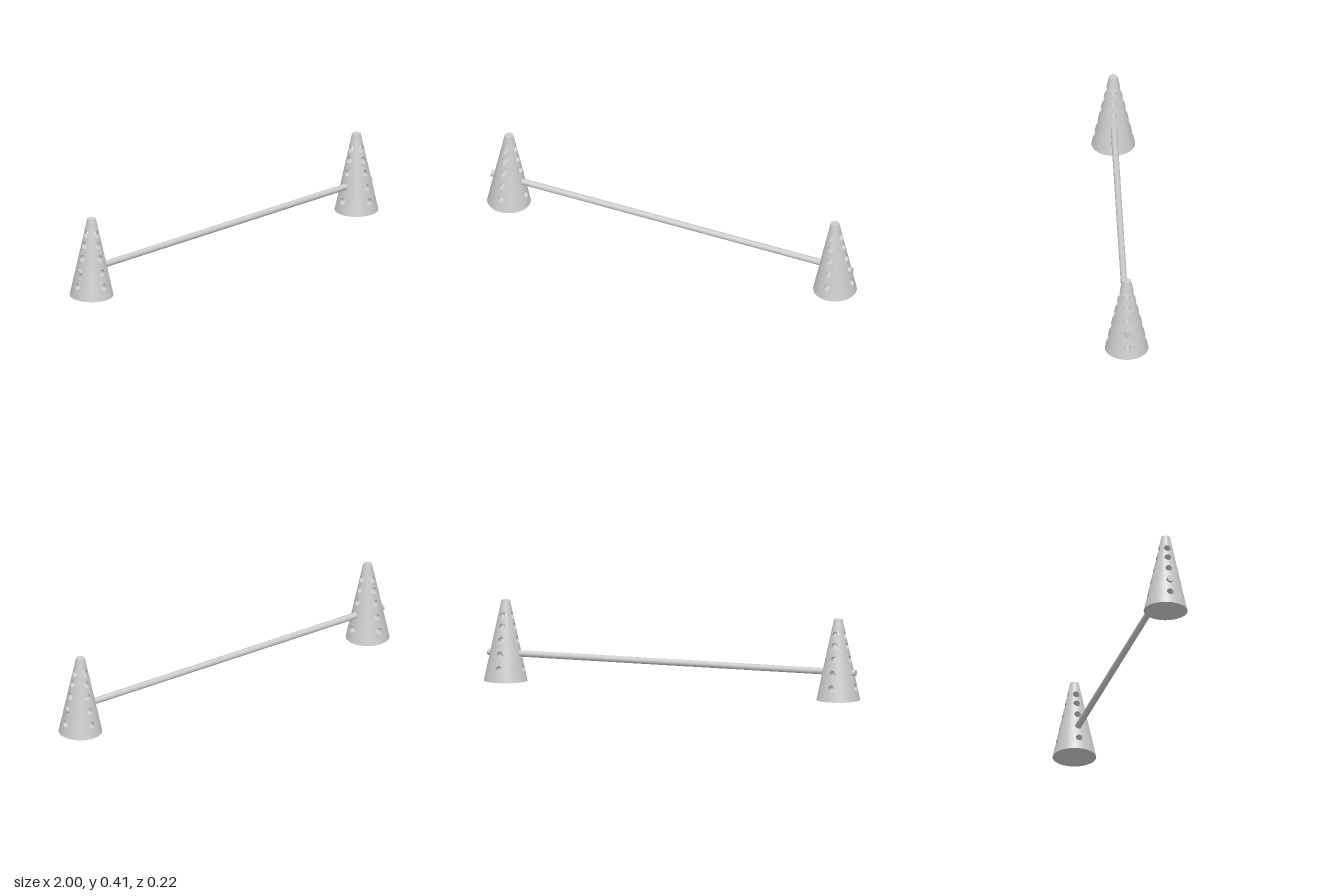
import * as THREE from 'three';
import { mergeGeometries } from 'three/addons/utils/BufferGeometryUtils.js';

const H = 0.405, R0 = 0.109, R1 = 0.0215;   // cone height, base and top radius
const HOLE_R = 0.017;
const HOLES = [0.066, 0.137, 0.208, 0.274, 0.329];
const CONE_X = 0.891;
const COLS = 48;
const radiusAt = (y) => R0 + (R1 - R0) * y / H;

// Surface grid; fn(row, t) returns [x, y, z, nx, ny, nz]
function grid(rows, fn) {
  const pos = [], nor = [], idx = [];
  for (let j = 0; j <= rows; j++) {
    for (let i = 0; i <= COLS; i++) {
      const p = fn(j / rows, -0.75 * Math.PI + (i / COLS) * 2 * Math.PI);
      pos.push(p[0], p[1], p[2]);
      nor.push(p[3], p[4], p[5]);
      if (j < rows && i < COLS) {
        const a = j * (COLS + 1) + i, b = a + COLS + 1;
        idx.push(a, b, b + 1, a, b + 1, a + 1);
      }
    }
  }
  const g = new THREE.BufferGeometry();
  g.setAttribute('position', new THREE.Float32BufferAttribute(pos, 3));
  g.setAttribute('normal', new THREE.Float32BufferAttribute(nor, 3));
  g.setIndex(idx);
  return g;
}

// Quarter of the cone wall between two heights, blended out from a round hole
function wallPatch(yc, lo, hi) {
  const slope = Math.hypot(H, R0 - R1);
  return grid(5, (s, t) => {
    const c = Math.cos(t), n = Math.sin(t), m = Math.max(Math.abs(c), Math.abs(n));
    const yHole = yc + HOLE_R * n;
    const aHole = Math.asin(HOLE_R * c / radiusAt(yHole));
    const y = THREE.MathUtils.lerp(yHole, lo + (hi - lo) * (n / m + 1) / 2, s);
    const a = THREE.MathUtils.lerp(aHole, (c / m) * Math.PI / 4, s);
    const r = radiusAt(y), ca = Math.cos(a), sa = -Math.sin(a);
    return [r * ca, y, r * sa, ca * H / slope, (R0 - R1) / slope, sa * H / slope];
  });
}

// Tunnel from the wall inwards, mitred where it meets the crossing tunnel
function tunnel(yc) {
  return grid(1, (s, t) => {
    const c = Math.cos(t), n = Math.sin(t), y = yc + HOLE_R * n, z = -HOLE_R * c;
    const x = s === 0 ? Math.abs(z) : Math.sqrt(radiusAt(y) ** 2 - z * z);
    return [x, y, z, 0, -n, c];
  });
}

// Four-way copy around the cone axis
function fourWays(geometries) {
  const all = [];
  for (let q = 0; q < 4; q++) {
    for (const g of geometries) all.push(g.clone().rotateY(q * Math.PI / 2));
  }
  return mergeGeometries(all);
}

export function createModel() {
  const group = new THREE.Group();
  const material = new THREE.MeshStandardMaterial({ color: 0xcccccc });
  const add = (parent, name, geometry) => {
    const mesh = new THREE.Mesh(geometry, material);
    mesh.name = name;
    parent.add(mesh);
    return mesh;
  };

  // Each hole owns a band of the wall, split midway to its neighbours
  const edges = [0];
  for (let i = 1; i < HOLES.length; i++) edges.push((HOLES[i - 1] + HOLES[i]) / 2);
  edges.push(H);
  const wall = fourWays(HOLES.map((y, i) => wallPatch(y, edges[i], edges[i + 1])));
  const tunnels = fourWays(HOLES.map(tunnel));
  const base = new THREE.CircleGeometry(R0, COLS).rotateX(Math.PI / 2);
  const top = new THREE.CircleGeometry(R1, COLS).rotateX(-Math.PI / 2).translate(0, H, 0);

  // Pair of drilled cones
  for (const side of [1, -1]) {
    const cone = new THREE.Group();
    cone.name = side > 0 ? 'leftCone' : 'rightCone';
    add(cone, 'coneWall', wall);
    add(cone, 'holeTunnels', tunnels);
    add(cone, 'coneBase', base);
    add(cone, 'coneTop', top);
    cone.position.x = side * CONE_X;
    group.add(cone);
  }

  // Crossbar resting in the second pair of holes
  const bar = add(group, 'crossbar', new THREE.CylinderGeometry(0.016, 0.016, 1.97, 32));
  bar.rotation.z = Math.PI / 2;
  bar.position.y = 0.139;
  return group;
}
